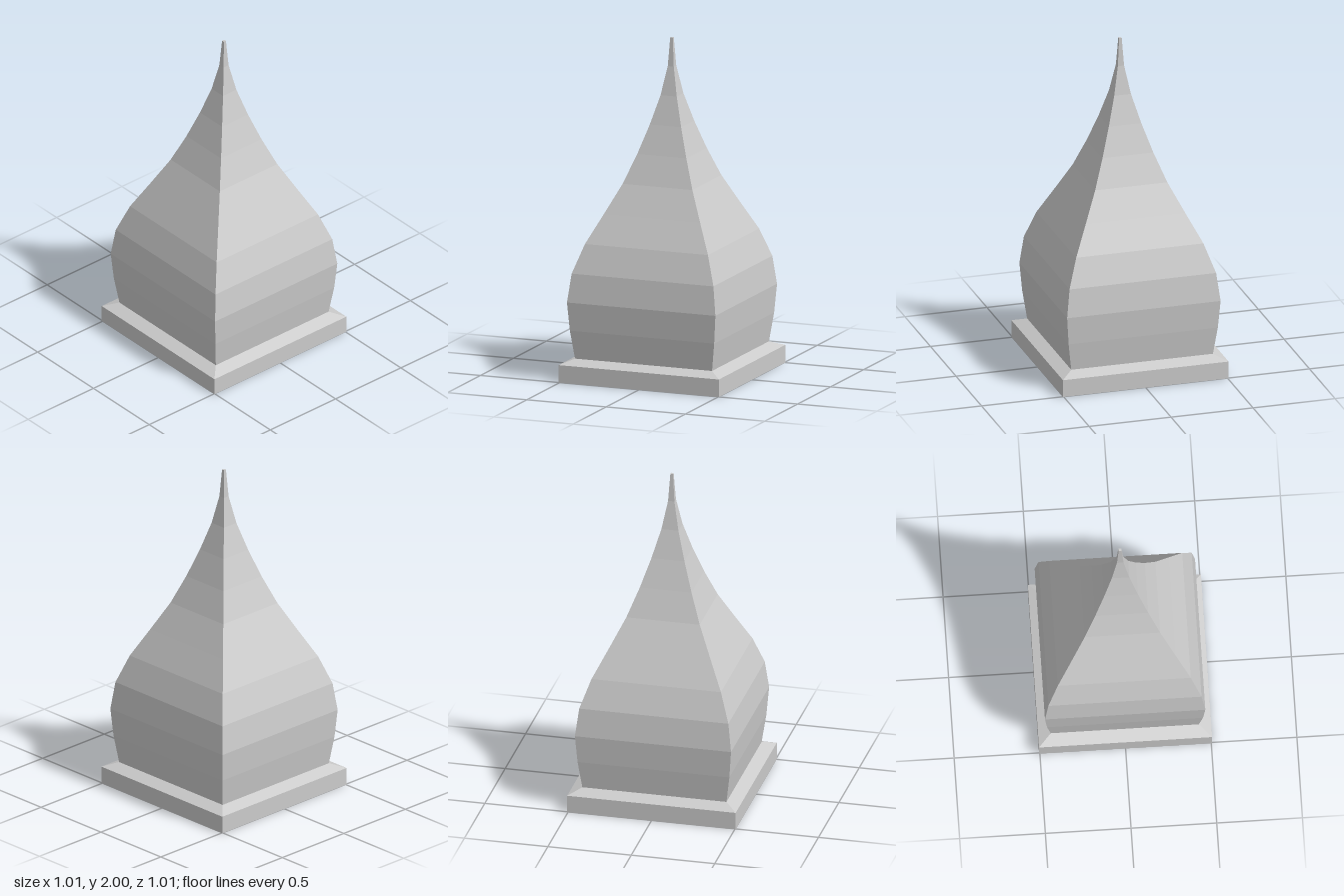
import * as THREE from 'three';

const material = new THREE.MeshStandardMaterial({ color: 0xcccccc, flatShading: true });

// Square, four-sided solid from a profile of [half width, height], bottom to top
function squareLathe(name, profile) {
  const points = profile.map(([w, y]) => new THREE.Vector2(w * Math.SQRT2, y));
  const mesh = new THREE.Mesh(new THREE.LatheGeometry(points, 4, Math.PI / 4), material);
  mesh.name = name;
  return mesh;
}

export function createModel() {
  const group = new THREE.Group();
  group.name = 'ogeeRoof';

  // Square plinth with a sloped upper edge
  group.add(squareLathe('plinth', [
    [0, 0], [0.505, 0], [0.505, 0.105], [0.432, 0.135], [0, 0.135],
  ]));

  // Bulging roof that sweeps up to a thin, flat-topped tip, in evenly spaced bands
  const bottom = 0.135;
  const widths = [0.432, 0.455, 0.468, 0.447, 0.388, 0.303, 0.22, 0.155, 0.099, 0.051, 0.019, 0.008];
  const step = (2 - bottom) / (widths.length - 1);
  const profile = widths.map((w, i) => [w, bottom + i * step]);
  group.add(squareLathe('roof', [...profile, [0, 2]]));

  return group;
}
